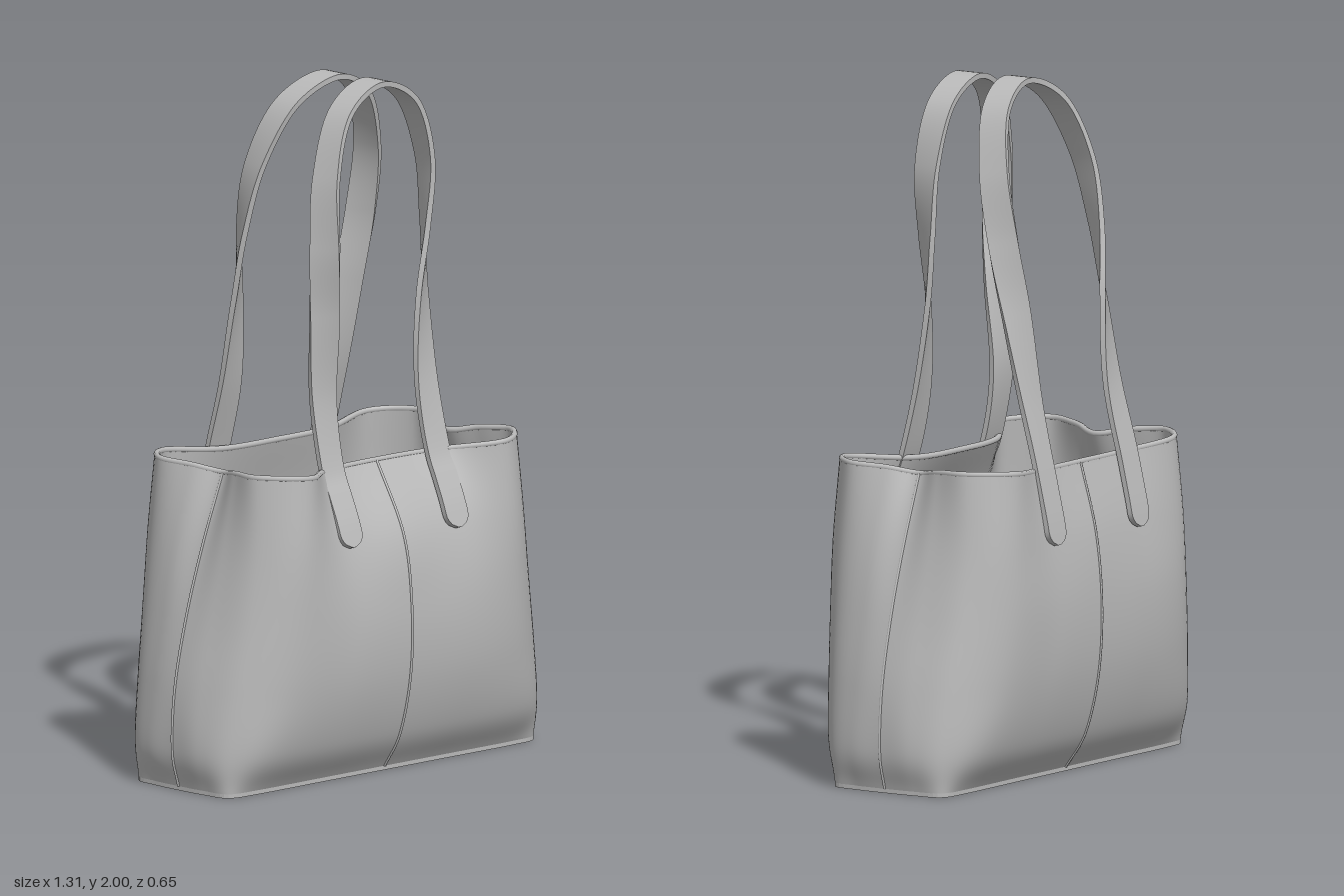
import * as THREE from 'three';

const V = (x, y, z) => new THREE.Vector3(x, y, z);

// Cross-sections of the body: [height, x/z pairs from front centre round the side to back centre]
const LEVELS = [
  [0.012, 0, .2, .25, .2, .5, .2, .605, .185, .622, .1, .625, 0, .622, -.1, .605, -.185, .5, -.2, .25, -.2, 0, -.2],
  [0.12, 0, .265, .25, .267, .5, .258, .61, .195, .648, .1, .65, 0, .648, -.1, .61, -.195, .5, -.26, .25, -.27, 0, -.27],
  [0.3, 0, .308, .24, .31, .46, .292, .583, .21, .63, .1, .64, 0, .63, -.1, .583, -.21, .46, -.297, .24, -.315, 0, -.315],
  [0.5, 0, .312, .21, .312, .43, .308, .55, .22, .59, .1, .595, 0, .59, -.1, .55, -.22, .43, -.315, .21, -.325, 0, -.325],
  [0.7, 0, .278, .21, .272, .41, .312, .525, .22, .545, .1, .53, 0, .545, -.1, .525, -.22, .42, -.312, .21, -.302, 0, -.305],
  [0.91, 0, .168, .21, .188, .385, .3, .51, .205, .49, .09, .45, 0, .49, -.09, .51, -.205, .4, -.3, .21, -.258, 0, -.252],
];
const RIM_Y = [.898, .9, .917, .922, .915, .9, .915, .922, .917, .9, .898];

// One vertical spline per column; the second half mirrors the first
const columns = [];
for (let i = 0; i < 20; i++) {
  const k = i <= 10 ? i : 20 - i, side = i <= 10 ? 1 : -1;
  columns.push(new THREE.CatmullRomCurve3(LEVELS.map((l, j) =>
    V(side * l[1 + 2 * k], j === 5 ? RIM_Y[k] : l[0], l[2 + 2 * k])), false, 'catmullrom', 0.5));
}
const ringAt = v => new THREE.CatmullRomCurve3(columns.map(c => c.getPoint(v)), true, 'catmullrom', 0.5);

// Height fraction of a column
function columnAtHeight(i, y) {
  let a = 0, b = 1;
  for (let n = 0; n < 30; n++) {
    const m = (a + b) / 2;
    if (columns[i].getPoint(m).y < y) a = m; else b = m;
  }
  return columns[i].getPoint(a);
}

const SEG = 160, ROWS = 50, WALL = 0.014;

function wallGeometry(inner) {
  const pos = [], idx = [];
  for (let r = 0; r <= ROWS; r++) {
    const ring = ringAt(r / ROWS);
    for (let s = 0; s <= SEG; s++) {
      const t = (s % SEG) / SEG, p = ring.getPoint(t);
      if (inner) {
        const d = ring.getTangent(t);
        p.add(V(-d.z, 0, d.x).normalize().multiplyScalar(-WALL));
      }
      pos.push(p.x, p.y, p.z);
      if (r < ROWS && s < SEG) {
        const a = r * (SEG + 1) + s, b = a + 1, c = a + SEG + 1, d = c + 1;
        if (inner) idx.push(a, c, b, b, c, d);
        else idx.push(a, b, c, b, d, c);
      }
    }
  }
  const g = new THREE.BufferGeometry();
  g.setAttribute('position', new THREE.Float32BufferAttribute(pos, 3));
  g.setIndex(idx);
  g.computeVertexNormals();
  // Match normals across the closing column
  const n = g.attributes.normal;
  for (let r = 0; r <= ROWS; r++) {
    const a = r * (SEG + 1), b = a + SEG;
    const m = V(n.getX(a) + n.getX(b), n.getY(a) + n.getY(b), n.getZ(a) + n.getZ(b)).normalize();
    n.setXYZ(a, m.x, m.y, m.z);
    n.setXYZ(b, m.x, m.y, m.z);
  }
  return g;
}

// Flat strap with rounded ends that twists to lie flat at the top of its arch
function strapGeometry(points) {
  const path = new THREE.CatmullRomCurve3(points, false, 'centripetal');
  path.arcLengthDivisions = 600;
  const length = path.getLength(), half = 0.043;
  const g = new THREE.BoxGeometry(1, 1, 1, 2, 260, 1);
  const p = g.attributes.position;
  for (let i = 0; i < p.count; i++) {
    const u = THREE.MathUtils.clamp(p.getY(i) + 0.5, 0, 1);
    const c = path.getPointAt(u), t = path.getTangentAt(u);
    const turn = THREE.MathUtils.smoothstep(c.y, 0.92, 1.98) * Math.PI / 2;
    const angle = u < 0.5 ? turn : Math.PI - turn;
    const w = V(Math.cos(angle), 0, Math.sin(angle));
    w.addScaledVector(t, -w.dot(t)).normalize();
    const n = V(0, 0, 0).crossVectors(w, t);
    const end = Math.min(1, Math.min(u, 1 - u) * length / half);
    const width = 2 * half * Math.sqrt(Math.max(0.02, 1 - (1 - end) ** 2));
    c.addScaledVector(w, p.getX(i) * width).addScaledVector(n, p.getZ(i) * 0.016);
    p.setXYZ(i, c.x, c.y, c.z);
  }
  g.computeVertexNormals();
  return g;
}

export function createModel() {
  const leather = new THREE.MeshStandardMaterial({ color: 0xbababa });
  leather.name = 'greyLeather';
  const bag = new THREE.Group();
  bag.name = 'toteBag';
  const add = (name, geometry) => {
    const m = new THREE.Mesh(geometry, leather);
    m.name = name;
    bag.add(m);
    return m;
  };

  // Body walls and rolled rim
  add('outerWall', wallGeometry(false));
  add('innerWall', wallGeometry(true));
  const rimPoints = [], top = ringAt(1);
  for (let s = 0; s < 100; s++) {
    const p = top.getPoint(s / 100), d = top.getTangent(s / 100);
    rimPoints.push(p.add(V(-d.z, 0, d.x).normalize().multiplyScalar(-WALL / 2)));
  }
  add('rimBinding', new THREE.TubeGeometry(new THREE.CatmullRomCurve3(rimPoints, true), 200, 0.009, 8, true));

  // Base plate
  const outline = ringAt(0).getPoints(120).slice(0, -1).map(p => new THREE.Vector2(p.x, -p.z));
  const base = new THREE.ExtrudeGeometry(new THREE.Shape(outline), { depth: 0.018, bevelEnabled: false });
  add('base', base.rotateX(-Math.PI / 2));

  // Seams down the middle of each face
  [['frontSeam', 0], ['leftSeam', 5], ['backSeam', 10], ['rightSeam', 15]].forEach(([name, i]) =>
    add(name, new THREE.TubeGeometry(columns[i], 60, 0.004, 6)));

  // Handles: sewn ends follow the wall, then the arch rises free
  const handle = (name, frontColumns, sign, arch) => {
    const foot = (i, y) => {
      const p = columnAtHeight(i, y);
      return V(p.x * sign, y, p.z * sign + 0.012);
    };
    const heights = [0.69, 0.76, 0.83, 0.895];
    const [a, b] = frontColumns;
    const points = [
      ...heights.map(y => foot(a, y)),
      ...arch.map(q => V(...q)),
      ...heights.slice().reverse().map(y => foot(b, y)),
    ];
    return add(name, strapGeometry(points));
  };
  handle('frontHandle', [19, 1], 1, [
    [-.21, 1.1, .165], [-.218, 1.35, .18], [-.232, 1.55, .195], [-.212, 1.75, .18], [-.12, 1.925, .145],
    [.03, 1.988, .12], [.17, 1.925, .113], [.24, 1.75, .115], [.243, 1.55, .115], [.222, 1.35, .125], [.208, 1.1, .155]]);
  handle('backHandle', [9, 11], -1, [
    [-.208, 1.1, .22], [-.222, 1.35, .18], [-.24, 1.55, .148], [-.23, 1.75, .11], [-.15, 1.925, .065],
    [-.02, 1.988, .045], [.13, 1.925, .065], [.215, 1.75, .11], [.232, 1.55, .148], [.22, 1.35, .18], [.208, 1.1, .22],
  ]).rotation.y = Math.PI;

  return bag;
}
